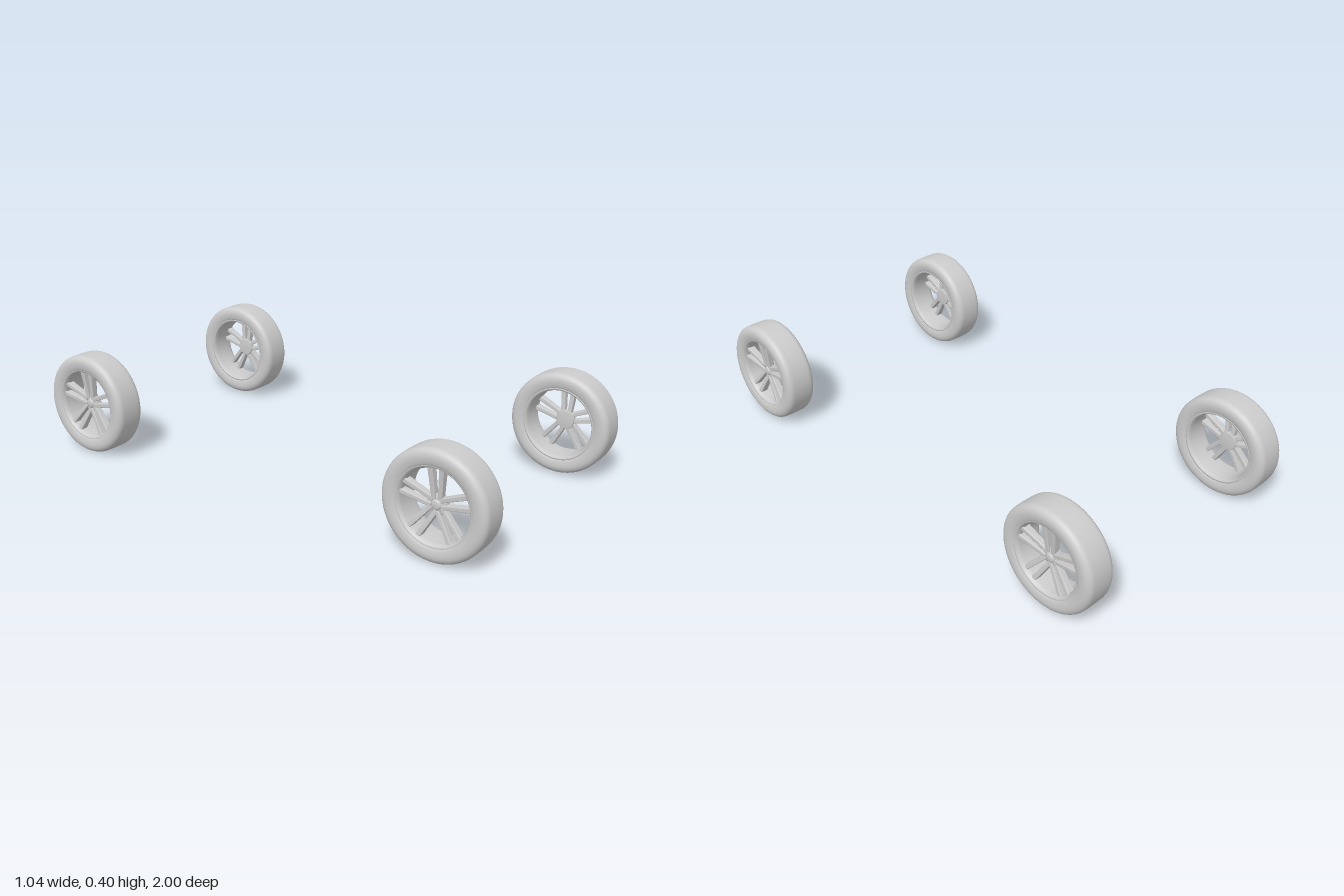
import * as THREE from 'three';

const R = 0.2; // wheel radius
const grey = new THREE.MeshStandardMaterial({ color: 0xcccccc, side: THREE.DoubleSide });

function part(name, geometry) {
  const mesh = new THREE.Mesh(geometry, grey);
  mesh.name = name;
  return mesh;
}

// Revolve [radius, axial] points around the x axis; +axial is the outer face
function revolve(points, segments = 64) {
  const pts = points.map(([r, a]) => new THREE.Vector2(r, a));
  return new THREE.LatheGeometry(pts, segments).rotateZ(-Math.PI / 2);
}

// Tyre: rounded section, symmetric about its middle plane
function tyreGeometry() {
  const half = [[0.136, 0.05], [0.143, 0.057], [0.155, 0.061], [0.17, 0.0625],
    [0.183, 0.06], [0.193, 0.053], [0.1985, 0.042], [0.1995, 0.025]];
  const section = [...half.map(([r, a]) => [r, -a]), [R, 0], ...half.slice().reverse()];
  const curve = new THREE.SplineCurve(section.map(([r, a]) => new THREE.Vector2(r, a)));
  return revolve(curve.getPoints(40).map((p) => [p.x, p.y]), 72);
}

// One bar of a spoke pair: dished side profile, extruded to its width and splayed outwards
function spokeGeometry(side) {
  const s = new THREE.Shape();
  s.moveTo(0.012, 0.022);
  s.lineTo(0.03, 0.022);
  s.quadraticCurveTo(0.036, 0.08, 0.043, 0.133);
  s.lineTo(0.018, 0.133);
  s.quadraticCurveTo(0.018, 0.08, 0.012, 0.022);
  const width = 0.01, bevel = 0.003;
  const g = new THREE.ExtrudeGeometry(s, {
    depth: width, bevelSize: bevel, bevelThickness: bevel, bevelSegments: 2, curveSegments: 6,
  });
  g.translate(0, 0, -width / 2);
  const p = g.attributes.position;
  for (let i = 0; i < p.count; i++) {
    const t = (p.getY(i) - 0.022) / 0.11;
    p.setZ(i, p.getZ(i) * (1 + 0.15 * t) + side * (0.012 + 0.01 * t));
  }
  g.computeVertexNormals();
  return g;
}

function createWheel(name) {
  const wheel = new THREE.Group();
  wheel.name = name;
  wheel.add(part('tyre', tyreGeometry()));

  // Rim: open barrel with a rolled flange at each end
  wheel.add(part('rim', revolve([
    [0.136, -0.05], [0.143, -0.054], [0.143, -0.058], [0.137, -0.058], [0.133, -0.052],
    [0.13, -0.04], [0.128, 0.0], [0.128, 0.038], [0.132, 0.046], [0.136, 0.054],
    [0.142, 0.057], [0.143, 0.053], [0.136, 0.048], [0.134, 0.0], [0.136, -0.05],
  ].reverse())));

  // Hub with a raised centre cap
  wheel.add(part('hub', revolve([
    [0, 0.004], [0.034, 0.004], [0.037, 0.008], [0.037, 0.024], [0.033, 0.028],
    [0.018, 0.028], [0.0165, 0.034], [0.012, 0.036], [0, 0.037],
  ], 40)));

  const bolt = new THREE.CylinderGeometry(0.004, 0.004, 0.008, 6).rotateZ(-Math.PI / 2);
  bolt.translate(0.03, 0.026, 0);

  // Five pairs of spokes, with a wheel bolt between neighbouring pairs
  for (let k = 0; k < 5; k++) {
    const sector = new THREE.Group();
    sector.name = 'spokePair';
    sector.rotation.x = (k * Math.PI * 2) / 5;
    for (const side of [-1, 1]) sector.add(part('spoke', spokeGeometry(side)));
    const nut = part('wheelBolt', bolt);
    nut.rotation.x = Math.PI / 5;
    sector.add(nut);
    wheel.add(sector);
  }
  return wheel;
}

export function createModel() {
  const model = new THREE.Group();
  model.name = 'wheelSet';
  for (const x of [-1, 1]) {
    for (const z of [-1, 1]) {
      const wheel = createWheel((z > 0 ? 'front' : 'rear') + (x > 0 ? 'Left' : 'Right') + 'Wheel');
      wheel.position.set(x * 0.4575, R, z * 0.8);
      if (x < 0) wheel.rotation.y = Math.PI; // spoked face outwards
      model.add(wheel);
    }
  }
  return model;
}
